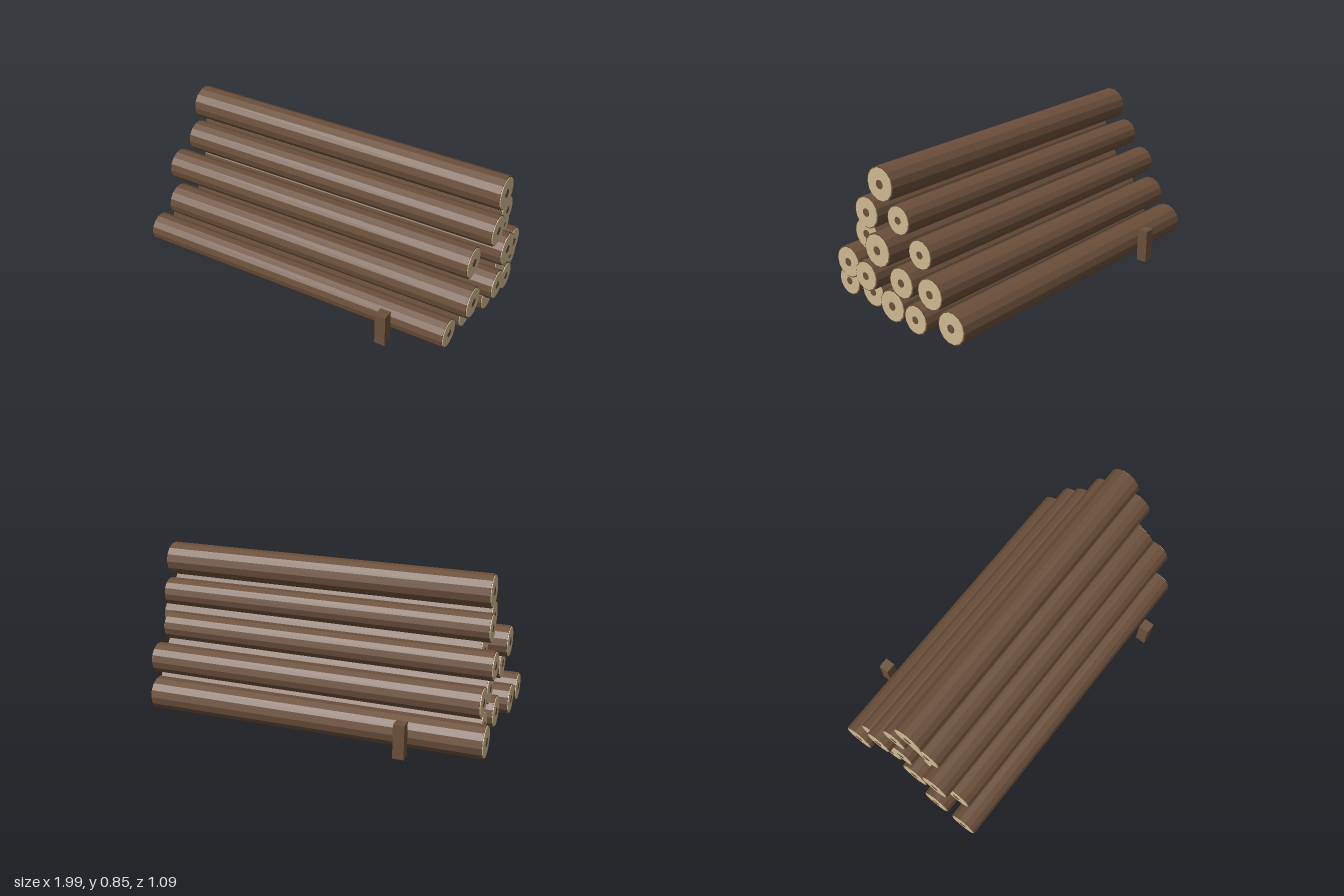
import * as THREE from 'three';

const mat = (name, color) => {
  const m = new THREE.MeshStandardMaterial({ color, flatShading: true });
  m.name = name;
  return m;
};

// Each log: [centre x, z, radius]; one row per layer, front to back
const ROWS = [
  { y: 0.094, logs: [[-0.067, 0.386, 0.08], [-0.062, 0.193, 0.084], [-0.02, 0, 0.089], [0.003, -0.193, 0.079], [-0.05, -0.385, 0.09]] },
  { y: 0.261, logs: [[0.011, 0.289, 0.087], [0.06, 0.096, 0.08], [0, -0.096, 0.084], [-0.007, -0.289, 0.085]] },
  { y: 0.429, logs: [[-0.04, 0.193, 0.087], [0.06, 0, 0.09], [-0.04, -0.193, 0.079]] },
  { y: 0.596, logs: [[0.035, 0.096, 0.084], [0.003, -0.096, 0.077]] },
  { y: 0.763, logs: [[0.024, 0, 0.091]] },
];
const LENGTH = 1.85;
const SIDES = 14;

export function createModel() {
  const bark = mat('bark brown', 0x6b4f3a);
  const cut = mat('cut wood', 0xcdb891);
  const group = new THREE.Group();
  group.name = 'logPile';

  // Cylinder lying along x
  const rod = (name, r, length, sides, material, x) => {
    const geo = new THREE.CylinderGeometry(r, r, length, sides).rotateZ(Math.PI / 2);
    const mesh = new THREE.Mesh(geo, material);
    mesh.name = name;
    mesh.position.x = x;
    return mesh;
  };

  // Logs with a pale cut face and a dark heart at both ends
  for (const { y, logs } of ROWS) {
    for (const [x, z, r] of logs) {
      const log = new THREE.Group();
      log.name = 'log';
      log.position.set(x, y, z);
      log.add(rod('logBark', r, LENGTH, SIDES, bark, 0));
      for (const side of [-1, 1]) {
        log.add(rod('cutFace', r * 0.925, 0.004, SIDES, cut, side * (LENGTH / 2 + 0.002)));
        log.add(rod('heartwood', r * 0.26, 0.002, 10, bark, side * (LENGTH / 2 + 0.005)));
      }
      group.add(log);
    }
  }

  // Stakes holding the pile at front and back
  for (const [name, x, z] of [['frontStake', 0.546, 0.515], ['backStake', -0.567, -0.515]]) {
    const stake = new THREE.Mesh(new THREE.BoxGeometry(0.06, 0.187, 0.06), bark);
    stake.name = name;
    stake.position.set(x, 0.0935, z);
    group.add(stake);
  }
  return group;
}
